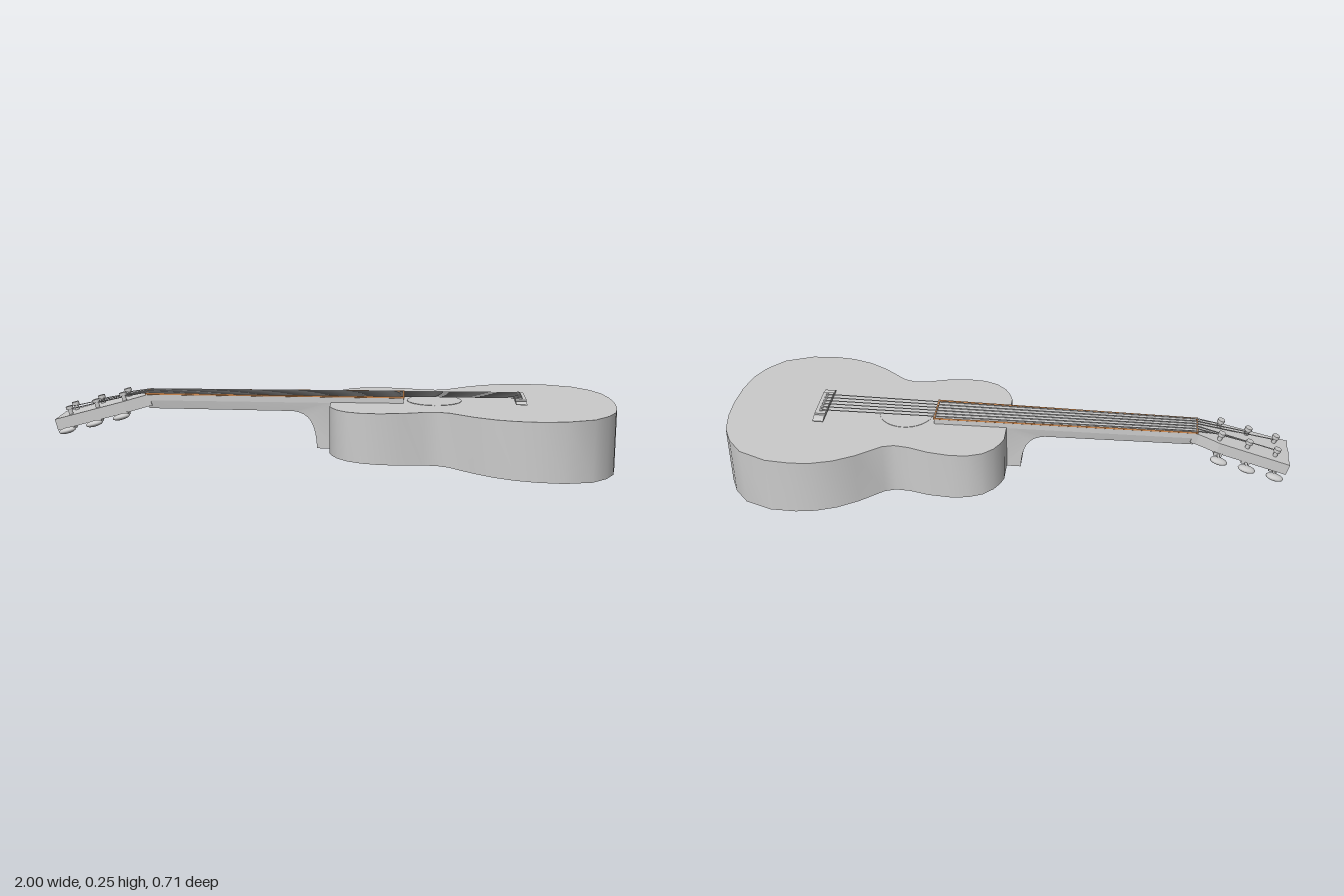
import * as THREE from 'three';
import { toCreasedNormals } from 'three/addons/utils/BufferGeometryUtils.js';

const grey = new THREE.MeshStandardMaterial({ color: 0xcccccc });
const orange = new THREE.MeshStandardMaterial({ color: 0xd08a50 });

function add(parent, name, geometry, material = grey) {
  const mesh = new THREE.Mesh(geometry, material);
  mesh.name = name;
  parent.add(mesh);
  return mesh;
}

// Flat plate from half an outline [x, z], mirrored in z, between heights y0 and y1
function plate(half, y0, y1) {
  const pts = half.map(([x, z]) => new THREE.Vector2(x, -z));
  for (const [x, z] of [...half].reverse()) if (z > 0) pts.push(new THREE.Vector2(x, z));
  const g = new THREE.ExtrudeGeometry(new THREE.Shape(pts), { depth: y1 - y0, bevelEnabled: false });
  return g.rotateX(-Math.PI / 2).translate(0, y0, 0);
}

// Thin rod between two points
function rod(a, b, r, sides = 6) {
  const dir = b.clone().sub(a);
  const g = new THREE.CylinderGeometry(r, r, dir.length(), sides);
  g.applyQuaternion(new THREE.Quaternion().setFromUnitVectors(new THREE.Vector3(0, 1, 0), dir.normalize()));
  const m = a.clone().add(b).multiplyScalar(0.5);
  return g.translate(m.x, m.y, m.z);
}

// Half width of the neck along x
const neckHalf = (x) => 0.048 + (x + 0.67) * 0.015;

export function createModel() {
  const guitar = new THREE.Group();
  guitar.name = 'guitar';
  const v = (x, y, z) => new THREE.Vector3(x, y, z);

  // Body: waisted outline, back sloping down towards the tail
  const outline = [
    [-0.005, 0.13], [0.005, 0.16], [0.025, 0.195], [0.06, 0.228], [0.11, 0.247], [0.17, 0.251],
    [0.25, 0.24], [0.32, 0.219], [0.37, 0.213], [0.41, 0.225], [0.49, 0.288], [0.56, 0.328],
    [0.63, 0.35], [0.7, 0.357], [0.79, 0.35], [0.89, 0.308], [0.945, 0.245], [0.978, 0.178],
    [0.995, 0.09], [1, 0],
  ];
  const bodyGeo = plate(outline, 0, 0.22);
  const bp = bodyGeo.attributes.position;
  for (let i = 0; i < bp.count; i++) {
    if (bp.getY(i) < 0.1) bp.setY(i, 0.05 * (1 - bp.getX(i)));
  }
  add(guitar, 'body', toCreasedNormals(bodyGeo, 0.6));

  // Sound hole
  add(guitar, 'soundHole', new THREE.CylinderGeometry(0.097, 0.097, 0.003, 32).translate(0.362, 0.22, 0));

  // Neck with curved heel, tapered towards the head
  const side = new THREE.Shape();
  side.moveTo(-0.68, 0.225);
  side.lineTo(-0.66, 0.188);
  side.lineTo(-0.14, 0.185);
  side.bezierCurveTo(-0.08, 0.178, -0.06, 0.14, -0.055, 0.05);
  side.lineTo(0.01, 0.05);
  side.lineTo(0.01, 0.225);
  const neckGeo = new THREE.ExtrudeGeometry(side, { depth: 2, bevelEnabled: false, curveSegments: 8 }).translate(0, 0, -1);
  const np = neckGeo.attributes.position;
  for (let i = 0; i < np.count; i++) {
    const narrow = np.getY(i) < 0.2 ? 0.85 : 1;
    np.setZ(i, np.getZ(i) * neckHalf(np.getX(i)) * narrow);
  }
  add(guitar, 'neck', toCreasedNormals(neckGeo, 0.6));

  // Fretboard with coloured edging
  const x0 = -0.672, x1 = 0.253;
  add(guitar, 'fretboard', plate([[x0, neckHalf(x0)], [x1, neckHalf(x1)]], 0.218, 0.24));
  const binding = new THREE.Group();
  binding.name = 'fretboardBinding';
  guitar.add(binding);
  for (const s of [-1, 1]) {
    const w = s * 0.002;
    add(binding, 'sideBinding', rod(v(x0, 0.24, s * neckHalf(x0) - w), v(x1, 0.24, s * neckHalf(x1) - w), 0.004, 4), orange);
  }
  for (const x of [x0, x1]) {
    add(binding, 'endBinding', new THREE.BoxGeometry(0.006, 0.006, 2 * neckHalf(x)).translate(x, 0.241, 0), orange);
  }

  // Headstock, tilted back
  const head = new THREE.Group();
  head.name = 'headstock';
  head.position.set(-0.67, 0.237, 0);
  head.rotation.z = 0.26;
  guitar.add(head);
  add(head, 'headPlate', plate([
    [-0.341, 0], [-0.338, 0.04], [-0.341, 0.077], [-0.085, 0.066], [-0.05, 0.056], [-0.01, 0.048], [0.01, 0.048],
  ], -0.042, 0));

  // Tuners: post on top, shaft and flattened button at the side
  const posts = [-0.083, -0.185, -0.287];
  for (const s of [-1, 1]) {
    for (const x of posts) {
      const tuner = new THREE.Group();
      tuner.name = 'tuner';
      tuner.position.set(x, 0, 0);
      head.add(tuner);
      add(tuner, 'post', new THREE.CylinderGeometry(0.008, 0.008, 0.03, 10).translate(0, 0.012, s * 0.042));
      add(tuner, 'postCap', new THREE.CylinderGeometry(0.013, 0.013, 0.012, 10).translate(0, 0.024, s * 0.042));
      add(tuner, 'gearCase', new THREE.BoxGeometry(0.03, 0.014, 0.035).translate(-0.01, -0.046, s * 0.05));
      add(tuner, 'shaft', rod(v(-0.012, -0.046, s * 0.045), v(-0.012, -0.046, s * 0.1), 0.005, 8));
      add(tuner, 'button', new THREE.SphereGeometry(1, 12, 8).scale(0.032, 0.011, 0.019).translate(-0.012, -0.046, s * 0.105));
    }
  }

  // Bridge with low curved wings
  const half = [[0.072, 0.24], [0.072, 0.234], [0.085, 0.237], [0.097, 0.234], [0.105, 0.229], [0.105, 0.227]];
  const section = [...half, ...half.map(([z, y]) => [-z, y]).reverse()].map(([z, y]) => new THREE.Vector2(z, y));
  const bridge = new THREE.ExtrudeGeometry(new THREE.Shape(section), { depth: 0.038, bevelEnabled: false });
  add(guitar, 'bridge', bridge.rotateY(Math.PI / 2).translate(0.645, 0, 0));

  // Strings: bridge to nut, then nut to post, with a pin at the bridge
  head.updateMatrix();
  for (let i = 0; i < 6; i++) {
    const k = i - 2.5;
    const s = Math.sign(k);
    const nut = v(x0, 0.244, k * 0.016);
    const end = v(0.664, 0.243, k * 0.0208);
    const post = v(posts[Math.floor(2.5 - Math.abs(k))], 0.017, s * 0.033).applyMatrix4(head.matrix);
    add(guitar, 'string', rod(end, nut, 0.0018));
    add(guitar, 'stringEnd', rod(nut, post, 0.0018));
    add(guitar, 'bridgePin', new THREE.CylinderGeometry(0.006, 0.006, 0.012, 8).translate(0.664, 0.239, end.z));
  }

  return guitar;
}
